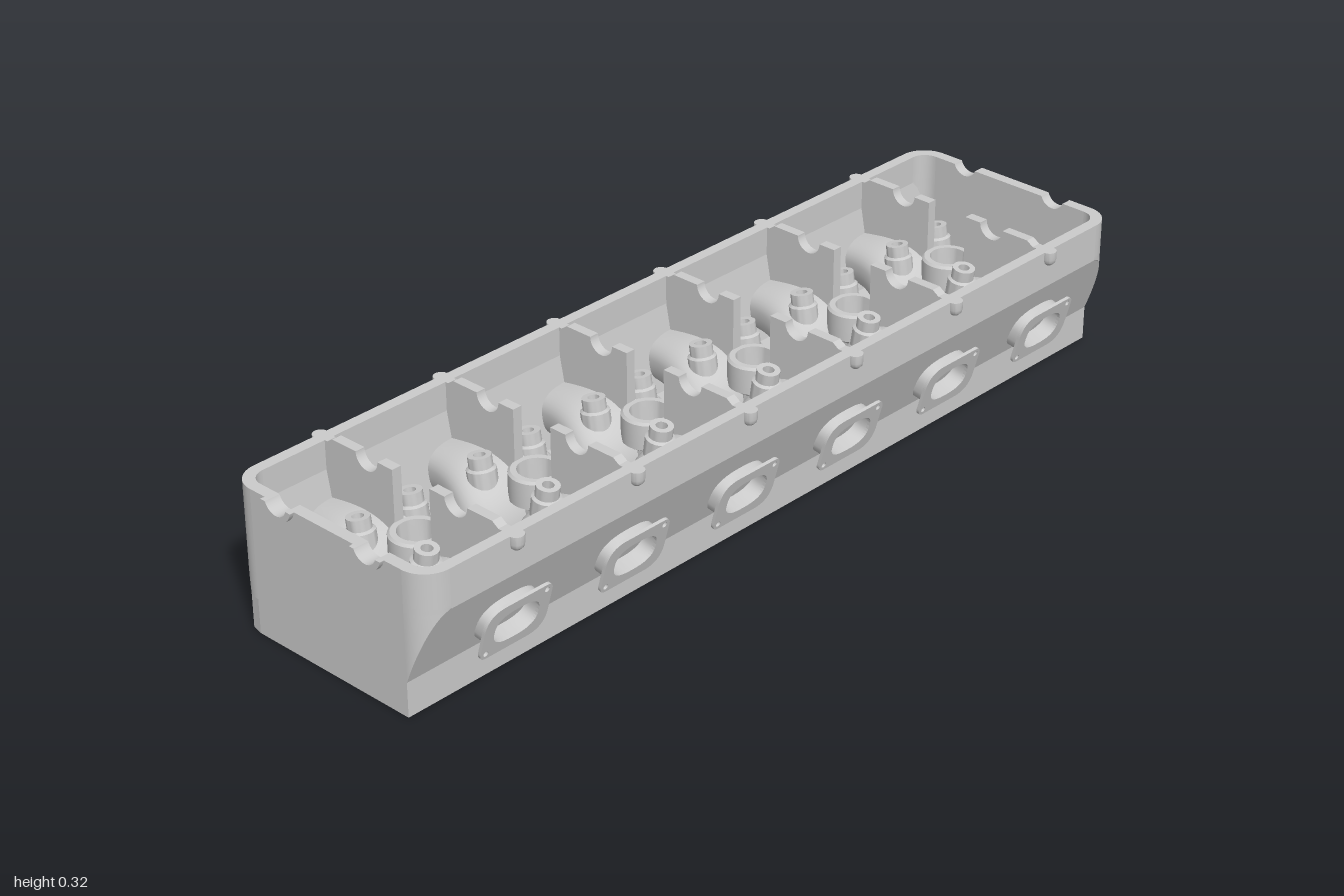
import * as THREE from 'three';
import { toCreasedNormals } from 'three/addons/utils/BufferGeometryUtils.js';

const mat = new THREE.MeshStandardMaterial({ color: 0xcccccc, side: THREE.DoubleSide });
const HX = 0.995, R = 0.06, DECK = 0.075, TOP = 0.313, WALL = 0.025;
const cylX = [0, 1, 2, 3, 4, 5].map(i => (i - 2.5) * 0.309);
const boltX = [-3, -2, -1, 0, 1, 2, 3].map(i => i * 0.3085 - 0.003);
const boltZ = [0.135, -0.17];

// Each side is described facing +z; the back one is turned round afterwards.
const FRONT = { name: 'front', z0: 0.205, zm: 0.265, yk: 0.23, port: [0.252, 0.125], tilt: 0.266,
  w0: 0.056, w1: 0.096, valve: { x: 0.05, z: 0.065, r: 0.045 }, guide: { x: 0.055, z: 0.086 } };
const BACK = { name: 'back', z0: 0.228, zm: 0.262, yk: 0.25, port: [0.268, 0.135], tilt: 0.154,
  w0: 0.064, w1: 0.114, valve: { x: 0.062, z: 0.068, r: 0.053 }, guide: { x: 0.065, z: 0.09 } };

function add(parent, name, geo, x = 0, y = 0, z = 0) {
  const m = new THREE.Mesh(geo, mat);
  m.name = name;
  m.position.set(x, y, z);
  parent.add(m);
  return m;
}
const lathe = (pts, seg = 28) =>
  toCreasedNormals(new THREE.LatheGeometry(pts.map(p => new THREE.Vector2(...p)), seg), 0.6);
const shapeOf = pts => new THREE.Shape(pts.map(p => new THREE.Vector2(...p)));
const hole = (x, y, rx, ry = rx) => new THREE.Path().absellipse(x, y, rx, ry, 0, Math.PI * 2, true);
const extrude = (shape, depth) =>
  new THREE.ExtrudeGeometry(shape, { depth, bevelEnabled: false, curveSegments: 20 });

// Surface over a grid of fn(u, v) points
function grid(fn, nu, nv) {
  const pos = [], idx = [];
  for (let j = 0; j <= nv; j++) for (let i = 0; i <= nu; i++) pos.push(...fn(i / nu, j / nv));
  for (let j = 0; j < nv; j++) for (let i = 0; i < nu; i++) {
    const a = j * (nu + 1) + i, b = a + nu + 1;
    idx.push(a, a + 1, b, a + 1, b + 1, b);
  }
  const g = new THREE.BufferGeometry();
  g.setAttribute('position', new THREE.Float32BufferAttribute(pos, 3));
  g.setIndex(idx);
  g.computeVertexNormals();
  return g;
}

// Wall position at a height, and the corner plan at a z position
const wallZ = (s, y, d) =>
  s.z0 + (s.zm - s.z0) * THREE.MathUtils.clamp((y - DECK) / (s.yk - DECK), 0, 1) - d;
function wallX(s, z, d) {
  const dz = Math.max(0, z - (s.zm - R)), r = R - d;
  return HX - R + Math.sqrt(Math.max(0, r * r - dz * dz));
}

// Flat wall panel between two heights, with port openings
function panel(s, y0, y1, d, ports) {
  const right = [];
  for (let i = 0; i <= 12; i++) {
    const y = y0 + (y1 - y0) * i / 12;
    right.push([wallX(s, wallZ(s, y, d), d), y]);
  }
  const shape = shapeOf([...right, ...right.map(([x, y]) => [-x, y]).reverse()]);
  if (ports) {
    const yc = s.port[1] + (s.port[0] - wallZ(s, 0.13, d)) * Math.tan(s.tilt);
    for (const x of cylX) shape.holes.push(hole(x, yc, s.w0 + 0.008, 0.042));
  }
  const g = new THREE.ShapeGeometry(shape, 24), p = g.attributes.position;
  for (let i = 0; i < p.count; i++) p.setZ(i, wallZ(s, p.getY(i), d));
  g.computeVertexNormals();
  return g;
}

function corner(s, e, d) {
  const cz = s.zm - R, r = R - d;
  return grid((u, v) => {
    const y = DECK + (TOP - DECK) * v;
    const a = u * Math.asin(THREE.MathUtils.clamp((wallZ(s, y, d) - cz) / r, 0, 1));
    return [e * (HX - R + r * Math.cos(a)), y, cz + r * Math.sin(a)];
  }, 10, 32);
}

// Port runner: rounded section swept from the flange down to the valve pair
function runner(s, off) {
  const [pz, py] = s.port, vz = s.valve.z;
  const curve = new THREE.CubicBezierCurve(new THREE.Vector2(pz, py),
    new THREE.Vector2(pz - 0.1 * Math.cos(s.tilt), py + 0.1 * Math.sin(s.tilt)),
    new THREE.Vector2(vz, 0.165), new THREE.Vector2(vz, DECK - 0.001));
  const pow = c => Math.sign(c) * Math.abs(c) ** 0.75;
  return grid((u, v) => {
    const p = curve.getPoint(v), t = curve.getTangent(v), a = u * Math.PI * 2 - Math.PI / 2;
    const k = THREE.MathUtils.smoothstep(v, 0, 0.85);
    const w = THREE.MathUtils.lerp(s.w0, s.w1, k) + off;
    const h = THREE.MathUtils.lerp(0.036, s.valve.r, k) + off;
    const n = h * pow(Math.sin(a));
    return [w * pow(Math.cos(a)), p.y - t.x * n, p.x + t.y * n];
  }, 40, 24);
}

// Port flange with two diagonal bolt ears
function flange(s) {
  const w = s.w0 + 0.026, h = 0.057, b = 0.045, c = 0.018;
  const f = new THREE.Shape();
  f.moveTo(-w + c, -h); f.lineTo(w - b, -h);
  f.quadraticCurveTo(w, -h, w, -h + b); f.lineTo(w, h - c);
  f.quadraticCurveTo(w, h, w - c, h); f.lineTo(-w + b, h);
  f.quadraticCurveTo(-w, h, -w, h - b); f.lineTo(-w, -h + c);
  f.quadraticCurveTo(-w, -h, -w + c, -h);
  const pow = q => Math.sign(q) * Math.abs(q) ** 0.75, pts = [];
  for (let i = 0; i < 40; i++) {
    const a = -i / 40 * Math.PI * 2;
    pts.push(new THREE.Vector2(s.w0 * pow(Math.cos(a)), 0.036 * pow(Math.sin(a))));
  }
  f.holes.push(new THREE.Path(pts), hole(w - 0.014, h - 0.013, 0.006), hole(-w + 0.014, -h + 0.013, 0.006));
  return extrude(f, 0.007);
}

// Cam bridge plate with bearing saddle, also dividing the runner below
function bridge() {
  const b = shapeOf([[0.05, 0.076], [0.15, 0.076], [0.19, 0.165], [0.228, 0.19], [0.245, 0.25],
    [0.245, 0.313], [0.23, 0.313], [0.215, 0.323], [0.15, 0.323]]);
  b.absarc(0.12, 0.323, 0.03, 0, Math.PI, true);
  b.lineTo(0.05, 0.323);
  return extrude(b, 0.022).rotateY(-Math.PI / 2).translate(0.011, 0, 0);
}

function buildSide(s) {
  const g = new THREE.Group();
  g.name = s.name + 'Side';
  for (const d of [0, WALL]) {
    const n = d ? 'Inner' : 'Outer';
    add(g, `sloped${n}Wall`, panel(s, DECK, s.yk, d, true));
    add(g, `upper${n}Wall`, panel(s, s.yk, TOP, d, false));
    for (const e of [1, -1]) add(g, `corner${n}Wall`, corner(s, e, d));
  }
  const cx = HX - R, cz = s.zm - R, rim = new THREE.Shape();
  rim.moveTo(HX, cz);
  rim.absarc(cx, cz, R, 0, Math.PI / 2, false);
  rim.absarc(-cx, cz, R, Math.PI / 2, Math.PI, false);
  rim.absarc(-cx, cz, R - WALL, Math.PI, Math.PI / 2, true);
  rim.absarc(cx, cz, R - WALL, Math.PI / 2, 0, true);
  add(g, 'rim', new THREE.ShapeGeometry(rim, 16).rotateX(Math.PI / 2), 0, TOP, 0);

  const outer = runner(s, 0.014), inner = runner(s, 0), plate = bridge(), fl = flange(s);
  const boss = lathe([[0, 0.28], [0.008, 0.282], [0.014, 0.288], [0.016, 0.296], [0.016, TOP], [0, TOP]]);
  const guide = lathe([[0.03, 0], [0.03, 0.06], [0.024, 0.064], [0.024, 0.088], [0.012, 0.088], [0.012, 0.03], [0, 0.03]]);
  for (const x of cylX) {
    add(g, 'runnerOuter', outer, x);
    add(g, 'runnerDuct', inner, x);
    add(g, 'camBridge', plate, x);
    add(g, 'portFlange', fl, x, s.port[1], s.port[0]).rotation.x = s.tilt;
    add(g, 'coverBoss', boss, x, 0, s.zm);
    for (const e of [1, -1])
      add(g, 'valveGuide', guide, x + e * s.guide.x, 0.145, s.guide.z - 0.013).rotation.x = 0.15;
  }
  return g;
}

export function createModel() {
  const root = new THREE.Group();
  root.name = 'cylinderHead';
  const head = new THREE.Group();
  head.name = 'head';
  head.position.x = 0.005;
  root.add(head);

  // Deck: chamber layer below, valve layer above
  const bx = HX - 0.006;
  const outline = () => {
    const o = shapeOf([[-HX, 0.205], [-HX, -0.202], [-bx, -0.228], [bx, -0.228], [HX, -0.202], [HX, 0.205]]);
    for (const x of boltX) for (const z of boltZ) o.holes.push(hole(x, z, 0.016));
    return o;
  };
  const low = outline(), high = outline();
  for (const x of cylX) {
    low.holes.push(hole(x, 0, 0.146));
    high.holes.push(hole(x, 0, 0.018));
    for (const [s, q] of [[FRONT, 1], [BACK, -1]]) for (const e of [1, -1]) {
      const { x: vx, z, r } = s.valve;
      high.holes.push(hole(x + e * vx, q * z, r));
      add(head, 'valveSeat', lathe([[r, 0.013], [r - 0.006, 0.022], [r - 0.006, 0.034], [r, 0.036]]), x + e * vx, 0, q * z);
    }
  }
  add(head, 'chamberDeck', extrude(low, 0.012).rotateX(Math.PI / 2), 0, 0.012, 0);
  add(head, 'valveDeck', extrude(high, DECK - 0.012).rotateX(Math.PI / 2), 0, DECK, 0);

  // Front and back walls with their ports
  head.add(buildSide(FRONT));
  const back = buildSide(BACK);
  back.rotation.y = Math.PI;
  head.add(back);

  // End walls with two cam notches
  const end = shapeOf([[-0.202, DECK], [0.205, DECK], [0.205, TOP]]);
  for (const z of [0.12, -0.12]) end.absarc(z, 0.323, 0.03, -0.34, -Math.PI + 0.34, true);
  end.lineTo(-0.202, TOP);
  const endGeo = extrude(end, WALL).rotateY(-Math.PI / 2);
  add(head, 'leftEndWall', endGeo, HX);
  add(head, 'rightEndWall', endGeo, -HX + WALL);

  // Cam notch lips on the right end
  const lip = new THREE.Shape();
  lip.absarc(0, 0, 0.042, Math.PI + 0.24, -0.24, false);
  lip.absarc(0, 0, 0.03, -0.34, -Math.PI + 0.34, true);
  const lipGeo = extrude(lip, 0.01).rotateY(-Math.PI / 2);
  for (const z of [0.12, -0.12]) add(head, 'camNotchLip', lipGeo, -HX, 0.323, z);

  // Spark plug tubes and head bolt bosses
  const plug = lathe([[0.027, DECK], [0.027, 0.13], [0.057, 0.15], [0.057, 0.205], [0.052, 0.21],
    [0.04, 0.21], [0.036, 0.15], [0.018, 0.135], [0.018, DECK]], 32);
  for (const x of cylX) add(head, 'sparkPlugTube', plug, x);
  const bolt = lathe([[0.032, DECK], [0.032, 0.108], [0.03, 0.11], [0.016, 0.11], [0.016, DECK]]);
  for (const x of boltX) for (const z of boltZ) add(head, 'boltBoss', bolt, x, 0, z);
  return root;
}
